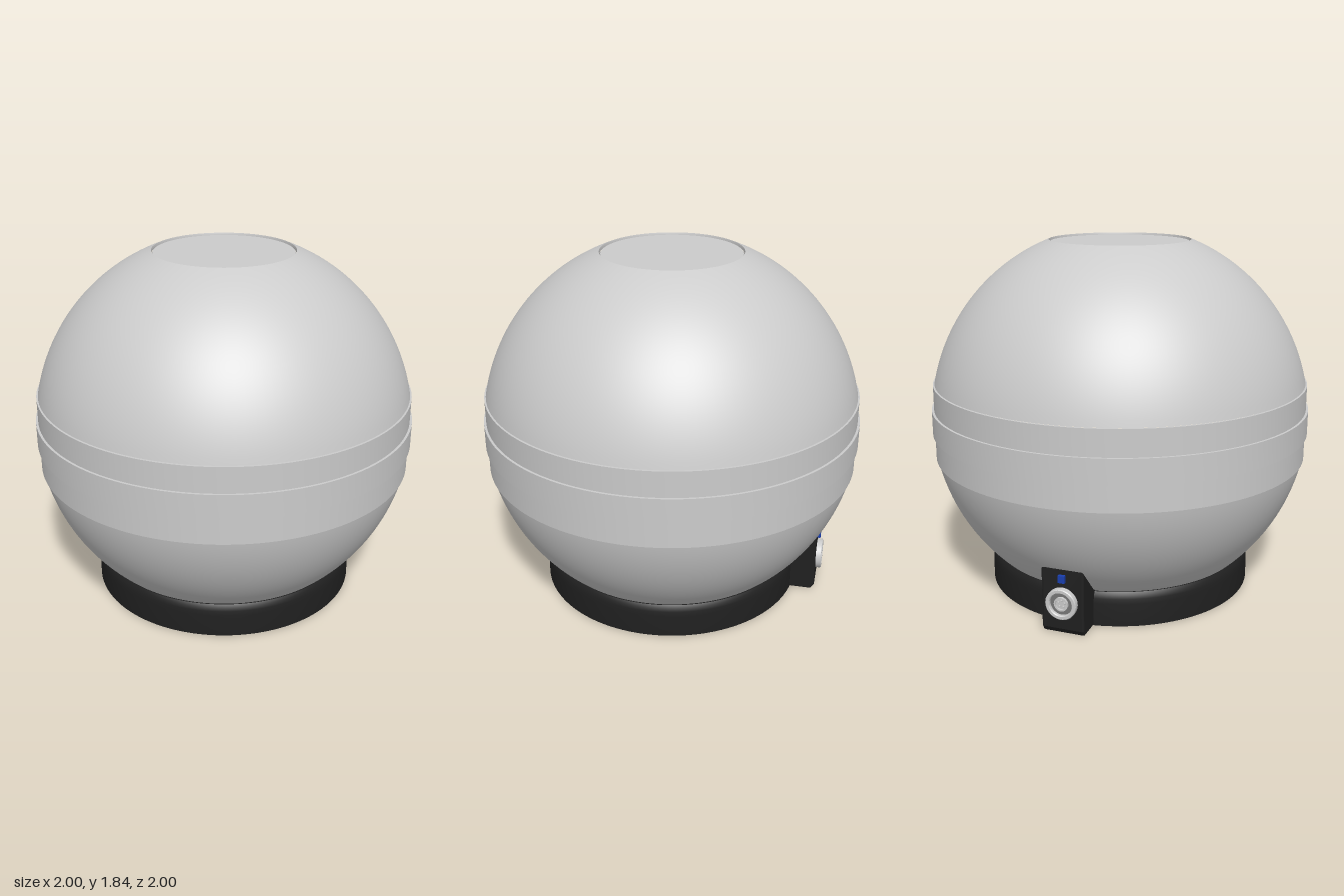
import * as THREE from 'three';
import { toCreasedNormals } from 'three/addons/utils/BufferGeometryUtils.js';

const SEGMENTS = 128;
const CENTRE_Y = 0.91;

const grey = new THREE.MeshStandardMaterial({ color: 0xcccccc });
const black = new THREE.MeshStandardMaterial({ color: 0x202020 });
const blue = new THREE.MeshStandardMaterial({ color: 0x1a3fb0 });
const dark = new THREE.MeshStandardMaterial({ color: 0x777777 });

function part(name, geometry, material = grey) {
  const mesh = new THREE.Mesh(geometry, material);
  mesh.name = name;
  return mesh;
}

// Turned part from [radius, height] points, listed from bottom to top on the outside
function turned(name, points, material = grey, segments = SEGMENTS) {
  const profile = points.map(([r, y]) => new THREE.Vector2(r, y));
  return part(name, toCreasedNormals(new THREE.LatheGeometry(profile, segments), 0.4), material);
}

// Points on the unit sphere between two heights
function sphereArc(y0, y1, steps = 28) {
  const a0 = Math.asin(y0 - CENTRE_Y), a1 = Math.asin(y1 - CENTRE_Y);
  return Array.from({ length: steps + 1 }, (_, i) => {
    const a = a0 + (a1 - a0) * i / steps;
    return [Math.cos(a), CENTRE_Y + Math.sin(a)];
  });
}

// Round connector built along +y, then turned to face the back
function createSocket() {
  const socket = new THREE.Group();
  socket.name = 'socket';
  socket.add(turned('socketRing', [
    [0.08, 0], [0.08, 0.026], [0.076, 0.03], [0.062, 0.03], [0.058, 0.026], [0.058, 0.012],
  ], grey, 48));
  socket.add(turned('socketFace', [[0.059, 0.012], [0, 0.012]], dark, 48));
  socket.add(turned('socketCore', [[0.036, 0.01], [0.036, 0.024], [0.028, 0.024], [0.028, 0.014], [0, 0.014]], grey, 32));
  const pin = new THREE.CylinderGeometry(0.006, 0.006, 0.016, 12);
  for (let i = 0; i < 5; i++) {
    const a = i / 5 * Math.PI * 2;
    const mesh = part('socketPin', pin);
    mesh.position.set(Math.sin(a) * 0.017, 0.016, Math.cos(a) * 0.017);
    socket.add(mesh);
  }
  socket.rotation.x = -Math.PI / 2;
  socket.position.set(0, 0.168, -0.828);
  return socket;
}

export function createModel() {
  const model = new THREE.Group();
  model.name = 'sphericalHousing';

  // Domes above and below the waist; the upper one ends in a shallow bevelled recess
  model.add(turned('lowerDome', sphereArc(0.17, 0.71)));
  model.add(turned('upperDome', [
    ...sphereArc(1.11, 1.84), [0.365, 1.83], [0.365, 1.824],
  ]));
  model.add(turned('topDisc', [[0.365, 1.82], [0.36, 1.829], [0, 1.829]]));

  // Waist shell with a raised central band
  model.add(turned('waistShell', [
    [0.975, 0.712], [0.988, 0.712], [0.988, 1.108], [0.975, 1.108],
  ]));
  model.add(turned('centralBand', [
    [0.98, 0.845], [1, 0.845], [1, 0.975], [0.98, 0.975],
  ]));

  // Foot with a softened top edge
  model.add(turned('base', [
    [0, 0], [0.705, 0], [0.705, 0.12], [0.702, 0.145], [0.697, 0.165], [0.688, 0.178], [0.6, 0.178],
  ], black));

  // Connector block reaching from the foot up to the lower dome
  const side = new THREE.Shape([
    [0.55, 0.008], [0.808, 0.008], [0.822, 0.03], [0.822, 0.33], [0.69, 0.185], [0.55, 0.17],
  ].map(([u, y]) => new THREE.Vector2(u, y)));
  const block = new THREE.ExtrudeGeometry(side, {
    depth: 0.2, bevelEnabled: true, bevelSize: 0.008, bevelThickness: 0.01, bevelSegments: 2,
  });
  block.translate(0, 0, -0.1);
  block.rotateY(Math.PI / 2);
  model.add(part('connectorBlock', block, black));

  // Indicator and socket on the rear face
  const indicator = part('indicator', new THREE.BoxGeometry(0.035, 0.038, 0.03), blue);
  indicator.position.set(0, 0.295, -0.829);
  model.add(indicator, createSocket());

  return model;
}
